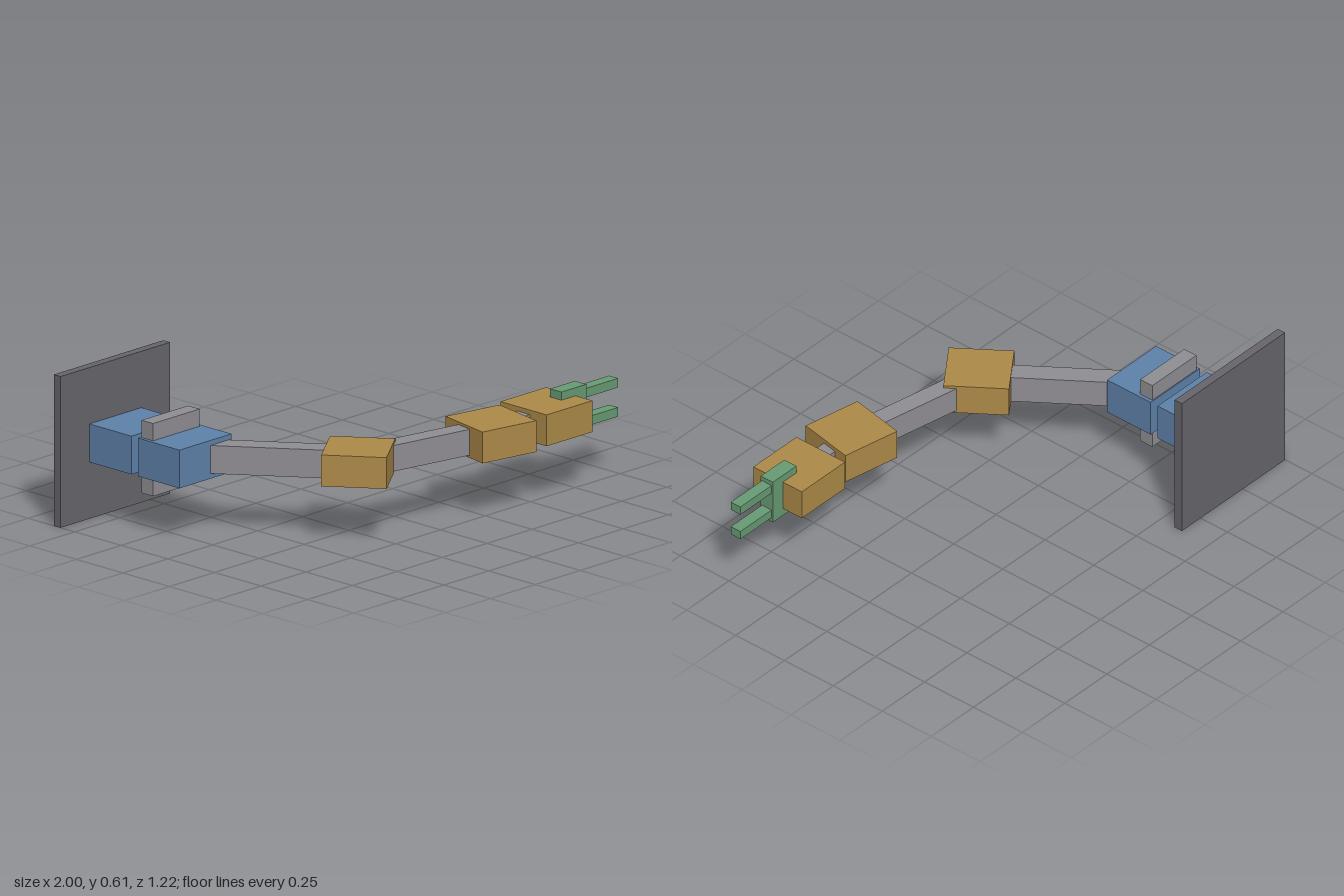
import * as THREE from 'three';

const COLORS = { plate: 0x67656c, steel: 0x908e93, blue: 0x5f82aa, gold: 0xad8a48, green: 0x689b74 };

export function createModel() {
  const model = new THREE.Group();
  const materials = {};
  for (const key in COLORS) materials[key] = new THREE.MeshStandardMaterial({ color: COLORS[key] });

  // Box given by its size and centre, turned about the vertical axis
  function box(name, material, [w, h, d], [x, y, z], turn = 0) {
    const mesh = new THREE.Mesh(new THREE.BoxGeometry(w, h, d), materials[material]);
    mesh.name = name;
    mesh.position.set(x, y, z);
    mesh.rotation.y = turn;
    model.add(mesh);
  }

  const midY = 0.307;
  const baseX = -0.695;

  // Wall mount, shoulder housings and the clamp bar through the front one
  box('wallPlate', 'plate', [0.61, 0.613, 0.037], [baseX, 0.3065, -0.594]);
  box('rearShoulderBlock', 'blue', [0.29, 0.155, 0.226], [baseX, midY, -0.463]);
  box('frontShoulderBlock', 'blue', [0.29, 0.155, 0.223], [baseX, midY, -0.203]);
  box('shoulderClamp', 'steel', [0.26, 0.295, 0.062], [baseX, midY, -0.279]);

  // Joint centres in plan (x, z): shoulder, elbow, forearm joint, wrist
  const joints = [[baseX, -0.2], [-0.297, 0.345], [0.32, 0.4625], [0.629, 0.4625]];
  const links = [
    { link: 'upperArm', joint: 'elbowBlock', height: 0.114, width: 0.083 },
    { link: 'forearm', joint: 'forearmBlock', height: 0.105, width: 0.077 },
    { link: 'wristLink', joint: 'wristBlock', height: 0.091, width: 0.068 },
  ];

  // Each link runs between two joints; the block at its far end shares its heading
  links.forEach(({ link, joint, height, width }, i) => {
    const [x0, z0] = joints[i];
    const [x1, z1] = joints[i + 1];
    const turn = -Math.atan2(z1 - z0, x1 - x0);
    const length = Math.hypot(x1 - x0, z1 - z0);
    box(link, 'steel', [length, height, width], [(x0 + x1) / 2, midY, (z0 + z1) / 2], turn);
    box(joint, 'gold', [0.255, 0.127, 0.248], [x1, midY, z1], turn);
  });

  // Gripper: upright palm and two parallel fingers
  const gripZ = 0.466;
  box('gripperPalm', 'green', [0.139, 0.193, 0.062], [0.7465, midY, gripZ]);
  for (const side of [1, -1]) {
    box(side > 0 ? 'upperFinger' : 'lowerFinger', 'green', [0.2, 0.037, 0.049], [0.9, midY + side * 0.059, gripZ]);
  }

  return model;
}
